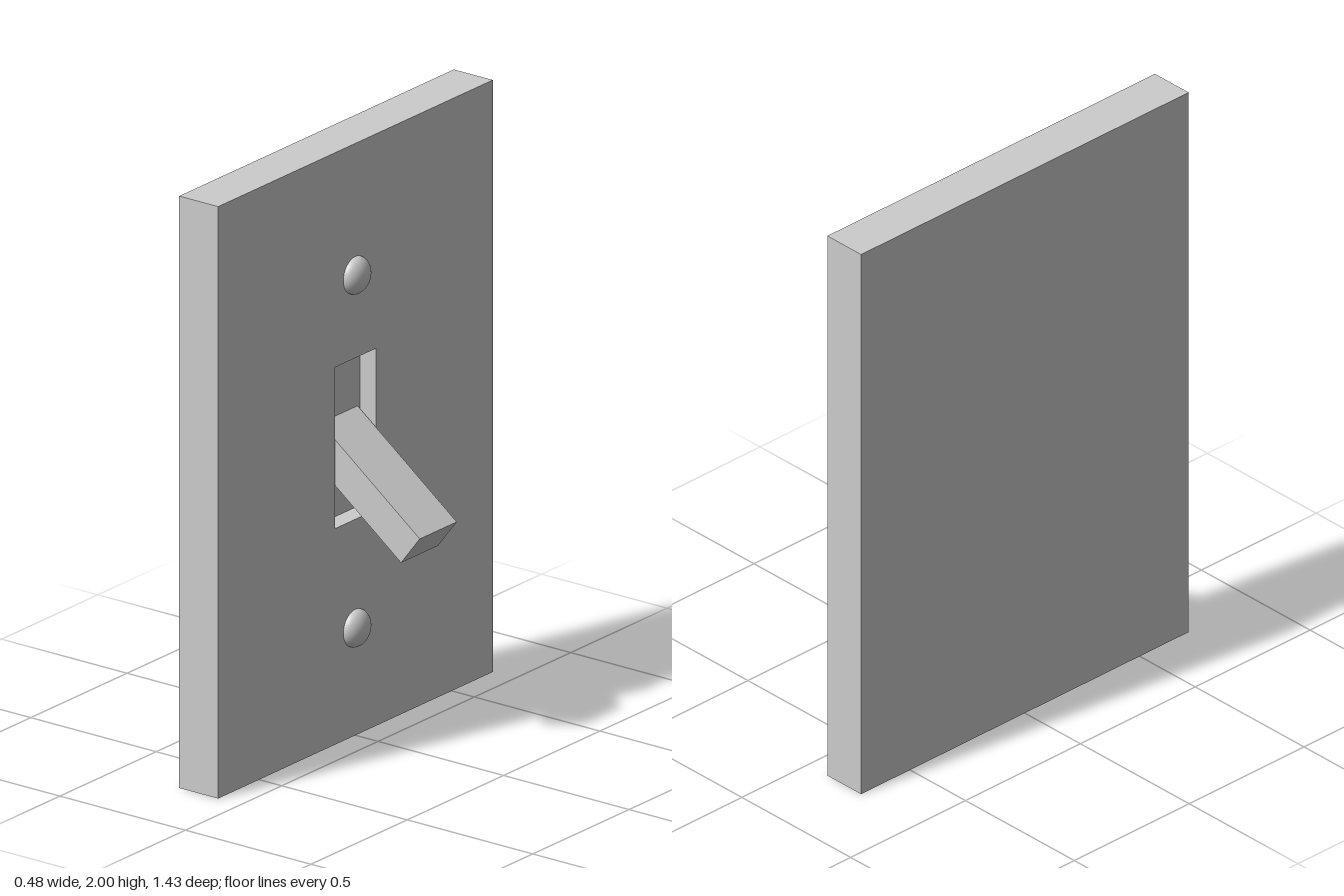
import * as THREE from 'three';

const FACE = -0.09, BACK = -0.245, FLOOR = -0.155; // x of plate face, plate back, slot floor
const material = new THREE.MeshStandardMaterial({ color: 0xcccccc });

function add(parent, name, geometry, x, y, z) {
  const mesh = new THREE.Mesh(geometry, material);
  mesh.name = name;
  mesh.position.set(x, y, z);
  parent.add(mesh);
  return mesh;
}

// Rectangle path centred on z = 0, given as half width and y range
function rect(path, halfWidth, y0, y1) {
  path.moveTo(-halfWidth, y0);
  path.lineTo(halfWidth, y0);
  path.lineTo(halfWidth, y1);
  path.lineTo(-halfWidth, y1);
  path.closePath();
  return path;
}

export function createModel() {
  const model = new THREE.Group();
  model.name = 'lightSwitch';

  // Wall plate: front layer with the slot cut through, closed by a solid back layer
  const plate = new THREE.Group();
  plate.name = 'wallPlate';
  model.add(plate);
  const outline = rect(new THREE.Shape(), 0.713, 0, 2);
  const backOutline = outline.clone();
  outline.holes.push(rect(new THREE.Path(), 0.107, 0.73, 1.275));
  const layer = (shape, depth) =>
    new THREE.ExtrudeGeometry(shape, { depth, bevelEnabled: false }).rotateY(Math.PI / 2);
  add(plate, 'slottedFront', layer(outline, FACE - FLOOR), FLOOR, 0, 0);
  add(plate, 'solidBack', layer(backOutline, FLOOR - BACK), BACK, 0, 0);

  // Toggle lever, tilted down out of the slot
  const lever = add(model, 'toggleLever', new THREE.BoxGeometry(0.497, 0.123, 0.192), 0.005, 0.87, 0);
  lever.rotation.z = -0.652;

  // Domed screw heads above and below the slot
  for (const [name, y] of [['upperScrew', 1.555], ['lowerScrew', 0.363]]) {
    const dome = new THREE.SphereGeometry(0.063, 32, 12, 0, Math.PI * 2, 0, Math.PI / 2);
    dome.rotateZ(-Math.PI / 2).scale(0.65, 1, 1);
    add(model, name, dome, FACE, y, 0);
  }

  return model;
}
